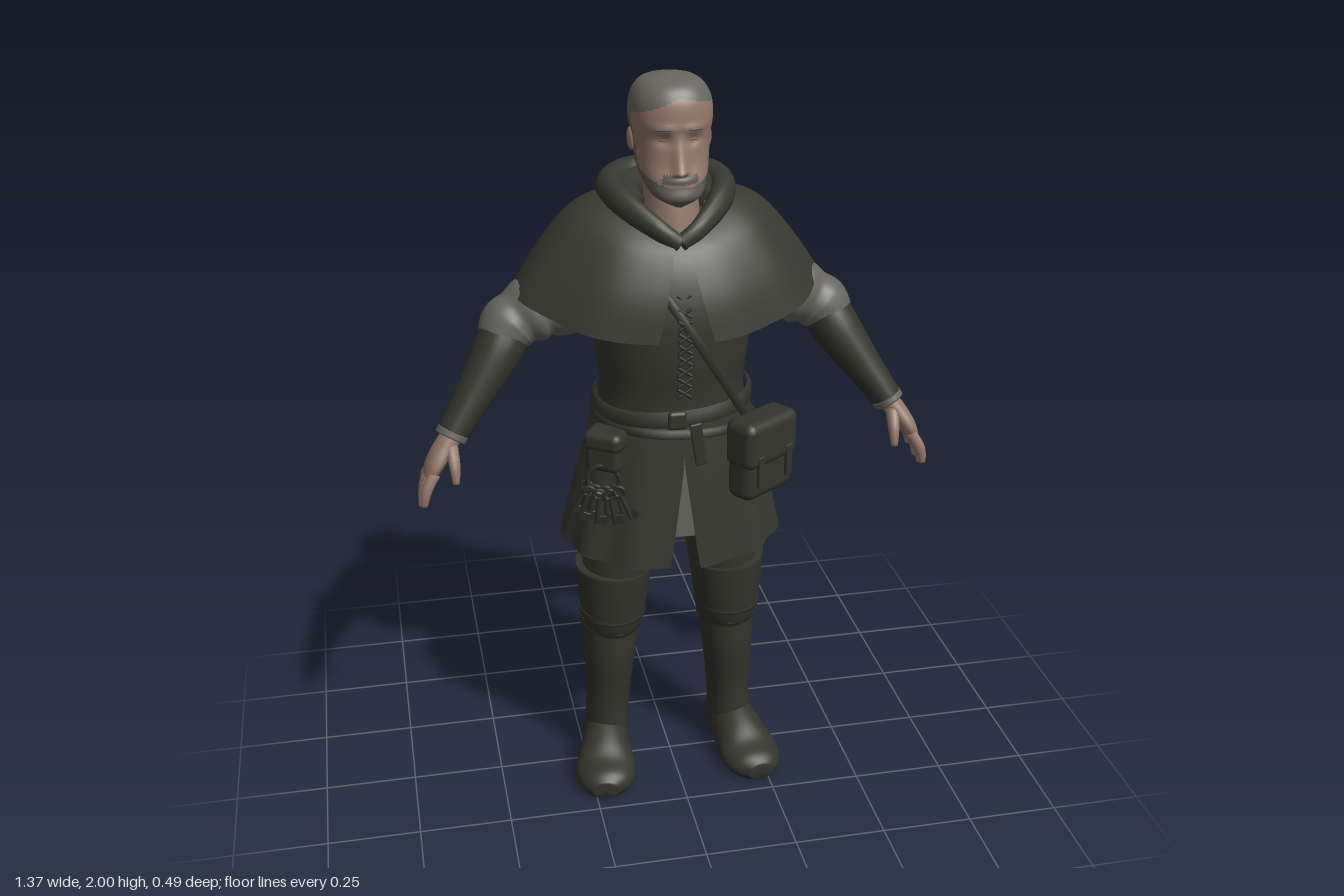
import * as THREE from 'three';
import { RoundedBoxGeometry } from 'three/addons/geometries/RoundedBoxGeometry.js';

const { sin, cos, abs, sign, PI, exp } = Math;

export function createModel() {
  const model = new THREE.Group();
  const mat = (name, color, side = THREE.FrontSide) => {
    const m = new THREE.MeshStandardMaterial({ color, side });
    m.name = name;
    return m;
  };
  const cloth = mat('dark cloth', 0x37382f, THREE.DoubleSide);
  const tunicCloth = mat('tunic cloth', 0x36362e);
  const leather = mat('dark leather', 0x33342c);
  const linen = mat('grey linen', 0x65645f, THREE.DoubleSide);
  const skin = mat('skin', 0x93776a);
  const hair = mat('grey hair', 0x68665f);
  const beard = mat('beard', 0x5f5953);
  const iron = mat('iron', 0x2c2d2a);

  const add = (name, geo, material, parent = model) => {
    const m = new THREE.Mesh(geo, material);
    m.name = name;
    parent.add(m);
    return m;
  };
  const box = (name, w, h, d, x, y, z, material, ry = 0, parent = model, r = 0.01) => {
    const m = add(name, new RoundedBoxGeometry(w, h, d, 2, Math.min(r, w / 2.1, h / 2.1, d / 2.1)), material, parent);
    m.position.set(x, y, z);
    m.rotation.y = ry;
    return m;
  };
  // smooth interpolation through rows of numbers
  const at = (rows, t) => {
    const n = rows.length - 1, f = Math.min(Math.max(t, 0) * n, n - 1e-6), i = Math.floor(f), k = f - i;
    const p = j => rows[Math.min(Math.max(j, 0), n)];
    return rows[0].map((_, c) => {
      const a = p(i - 1)[c], b = p(i)[c], d = p(i + 1)[c], e = p(i + 2)[c];
      return b + 0.5 * k * (d - a + k * (2 * a - 5 * b + 4 * d - e + k * (3 * (b - d) + e - a)));
    });
  };
  // surface from a rule; a closed one joins its first and last column
  const grid = (fn, nu, nv, closed = true) => {
    const pos = [], idx = [], cols = closed ? nu : nu + 1;
    for (let j = 0; j <= nv; j++) for (let i = 0; i < cols; i++) pos.push(...fn(i / nu, j / nv, j, nv));
    for (let j = 0; j < nv; j++) for (let i = 0; i < nu; i++) {
      const a = j * cols + i, b = j * cols + (i + 1) % cols;
      idx.push(a, b, b + cols, a, b + cols, a + cols);
    }
    const g = new THREE.BufferGeometry();
    g.setAttribute('position', new THREE.Float32BufferAttribute(pos, 3));
    g.setIndex(idx);
    g.computeVertexNormals();
    return g;
  };
  // sort faces into material groups by a rule on their centre
  const paint = (g, rule, count) => {
    const p = g.attributes.position, ix = g.index.array, sets = Array.from({ length: count }, () => []);
    for (let i = 0; i < ix.length; i += 3) {
      const t = [ix[i], ix[i + 1], ix[i + 2]], m = f => (f(t[0]) + f(t[1]) + f(t[2])) / 3;
      sets[rule(m(k => p.getX(k)), m(k => p.getY(k)), m(k => p.getZ(k)))].push(...t);
    }
    g.setIndex(sets.flat());
    let start = 0;
    sets.forEach((s, i) => { g.addGroup(start, s.length, i); start += s.length; });
    return g;
  };
  // limb along rows [x, y, z, radius along ref, radius across]
  const limb = (rows, { s = 1, nu = 20, nv = 20, ref = [0, 0, 1], floor = -9 } = {}) => {
    const r = rows.map(q => [q[0] * s, ...q.slice(1)]);
    return grid((u, v, j, n) => {
      const t = Math.min(Math.max((j - 1) / (n - 2), 0), 1), end = j === 0 || j === n ? 0 : 1;
      const c = at(r, t), a = at(r, t - 0.03), b = at(r, t + 0.03);
      const T = new THREE.Vector3(b[0] - a[0], b[1] - a[1], b[2] - a[2]).normalize();
      const S = new THREE.Vector3(...ref).addScaledVector(T, -T.dot(new THREE.Vector3(...ref))).normalize();
      const N = T.clone().cross(S), k = u * 2 * PI;
      const P = new THREE.Vector3(c[0], c[1], c[2])
        .addScaledVector(S, end * c[3] * cos(k)).addScaledVector(N, end * c[4] * sin(k));
      return [P.x, Math.max(P.y, floor), P.z];
    }, nu, nv + 2);
  };
  // upright shell from rows [y, half width, front z, back z]
  const ring = (r, a, p = 0.9, grow = 0) => {
    const m = (r[2] + r[3]) / 2, h = (r[2] - r[3]) / 2 + grow, pw = x => sign(x) * abs(x) ** p;
    return [(r[1] + grow) * pw(sin(a)), r[0], m + h * pw(cos(a))];
  };

  // head, with nose, eye sockets, hair and beard shaped into one surface
  const headRows = [[1.69, 0.012, 0.125, 0.08], [1.715, 0.06, 0.152, 0.02], [1.755, 0.083, 0.141, -0.06], [1.80, 0.092, 0.126, -0.095],
    [1.85, 0.097, 0.122, -0.115], [1.90, 0.104, 0.125, -0.12], [1.95, 0.097, 0.117, -0.108], [1.985, 0.068, 0.085, -0.075], [2, 0.001, 0.005, 0.003]];
  const head = grid((u, v) => {
    const p = ring(at(headRows, v), u * 2 * PI, 0.88);
    if (p[2] > 0.05) {
      const [x, y] = p, bump = (cx, cy, w, h) => exp(-(((abs(x) - cx) / w) ** 2) - ((y - cy) / h) ** 2);
      if (y > 1.775 && y < 1.875) p[2] += 0.03 * (1 - (y - 1.775) / 0.1) * exp(-((x / 0.016) ** 2));
      p[2] += 0.01 * bump(0, 1.762, 0.04, 0.013) - 0.009 * bump(0.037, 1.853, 0.02, 0.013) + 0.006 * bump(0.035, 1.883, 0.03, 0.01);
    }
    return p;
  }, 80, 64);
  add('head', paint(head, (x, y, z) => {
    if (y > 1.955 - 0.3 * abs(x) + 0.12 * x || (z < 0.025 && y > 1.835) || (z < -0.02 && y > 1.75)) return 1;
    if (z > -0.02 && (y < 1.74 || (y < 1.835 && z < 0.035) || y < 1.795 - z * 0.35
      || (abs(x) < 0.045 && y > 1.752 && y < 1.774))) return 2;
    return 0;
  }, 3), [skin, hair, beard]);
  for (const s of [1, -1]) {
    const ear = add('ear', new THREE.SphereGeometry(1, 14, 10), skin);
    ear.scale.set(0.01, 0.03, 0.018);
    ear.position.set(s * 0.097, 1.838, -0.002);
    ear.rotation.set(-0.2, s * -0.3, 0);
    box('eye', 0.022, 0.005, 0.008, s * 0.038, 1.854, 0.105, beard, s * 0.3);
    box('eyebrow', 0.038, 0.006, 0.008, s * 0.04, 1.882, 0.121, beard, s * 0.35);
  }
  add('neck', limb([[0, 1.59, 0.015, 0.1, 0.085], [0, 1.67, 0.015, 0.088, 0.07], [0, 1.78, 0, 0.075, 0.07]]), skin);

  // tunic body and split skirt
  const torsoRows = [[1.1, 0.205, 0.18, -0.145], [1.2, 0.19, 0.183, -0.145], [1.3, 0.2, 0.195, -0.155],
    [1.42, 0.21, 0.195, -0.165], [1.54, 0.205, 0.16, -0.17], [1.62, 0.15, 0.1, -0.14], [1.67, 0.07, 0.05, -0.09]];
  add('tunic', grid((u, v) => ring(at(torsoRows, v), u * 2 * PI), 48, 24), tunicCloth);
  const skirtRows = [[0.724, 0.298, 0.213, -0.222], [0.86, 0.272, 0.205, -0.195], [1.0, 0.24, 0.197, -0.165], [1.16, 0.2, 0.186, -0.147]];
  add('skirt', grid((u, v) => {
    const gap = 0.14 * Math.max(0, 0.72 - v), a = gap + u * (2 * PI - 2 * gap);
    const p = ring(at(skirtRows, v), a, 0.88, 0.007 * sin(a * 11) * (1 - v));
    p[1] += 0.026 * sin(a) ** 2 * (1 - v);
    return p;
  }, 110, 16, false), cloth);
  box('undershirt panel', 0.12, 0.24, 0.009, 0, 0.925, 0.185, linen);

  // belts with buckle and hanging end
  const belt = (name, y, h, grow, tilt) => add(name, grid((u, v) => {
    const a = u * 2 * PI, edge = [0, 0.15, 0.85, 1][Math.round(v * 3)], out = v > 0.1 && v < 0.9 ? grow : grow - 0.012;
    const p = ring([y, 0.203, 0.186, -0.148], a, 0.9, out);
    p[1] += (edge - 0.5) * h + tilt * sin(a) - 0.01 * cos(a);
    return p;
  }, 48, 3), leather);
  belt('belt', 1.158, 0.045, 0.01, 0.01);
  belt('lower belt', 1.115, 0.03, 0.012, -0.012);
  box('buckle', 0.05, 0.05, 0.02, -0.02, 1.15, 0.197, leather);
  box('belt end', 0.032, 0.12, 0.01, 0.035, 1.08, 0.202, leather).rotation.z = 0.15;

  // front lacing
  for (let i = 0; i < 12; i++) {
    const y = 1.22 + i * 0.031, z = at(torsoRows, (y - 1.1) / 0.6)[2];
    for (const t of [0.6, -0.6]) box('lace', 0.045, 0.009, 0.013, 0, y, z + 0.003, iron, 0, model, 0.004).rotation.z = t;
  }

  // shoulder cape; rows: half width, front z, back z, side y, front y, back y
  const capeRows = [[0.41, 0.22, -0.196, 1.45, 1.365, 1.255], [0.34, 0.202, -0.206, 1.555, 1.47, 1.42],
    [0.258, 0.16, -0.198, 1.65, 1.57, 1.56], [0.18, 0.12, -0.165, 1.69, 1.615, 1.65], [0.1, 0.1, -0.11, 1.705, 1.625, 1.69]];
  add('cape', grid((u, v) => {
    const gap = 0.14 * (1 - v) ** 1.2, a = gap + u * (2 * PI - 2 * gap), c = cos(a), r = at(capeRows, v);
    const w = abs(c) ** 1.8, fold = 1 + 0.012 * sin(a * 9) * (1 - v), mid = -0.055;
    return [sign(sin(a)) * abs(sin(a)) ** 0.88 * r[0] * fold, r[3] + ((c > 0 ? r[4] : r[5]) - r[3]) * w,
      mid + (c > 0 ? c ** 1.15 * (r[1] - mid) : (-c) ** 0.8 * (r[2] - mid)) * fold];
  }, 90, 20, false), cloth);

  // hood lying round the neck and hanging behind
  const half = [[0, 1.6, 0.135, 0.02, 0.018], [0.058, 1.637, 0.115, 0.028, 0.022], [0.125, 1.68, 0.03, 0.04, 0.032],
    [0.142, 1.695, -0.07, 0.046, 0.038], [0.09, 1.7, -0.145, 0.05, 0.042]];
  const hoodPath = [...half, [0, 1.7, -0.17, 0.052, 0.042], ...half.slice().reverse().map(([x, ...r]) => [-x, ...r])];
  add('hood collar', limb(hoodPath, { ref: [0, 1, 0], nv: 64, nu: 16 }), cloth);
  const inner = hoodPath.slice(2, -2).map(([x, y, z, a, b]) => [x * 0.75, y - 0.012, z * 0.85, a * 0.9, b]);
  add('hood inner fold', limb(inner, { ref: [0, 1, 0], nv: 48, nu: 14 }), cloth);
  const bag = new THREE.SphereGeometry(1, 28, 18), bp = bag.attributes.position;
  for (let i = 0; i < bp.count; i++) {
    const y = bp.getY(i);
    bp.setXYZ(i, bp.getX(i) * (0.13 + 0.05 * y), 1.63 + y * 0.105, -0.18 + bp.getZ(i) * 0.064 - 0.008 * y);
  }
  bag.computeVertexNormals();
  add('hood bag', bag, cloth);
  add('hood fold', limb([[0.15, 1.69, -0.15, 0.01, 0.016], [0.085, 1.62, -0.222, 0.01, 0.014], [0, 1.57, -0.232, 0.01, 0.014],
    [-0.085, 1.62, -0.222, 0.01, 0.014], [-0.15, 1.69, -0.15, 0.01, 0.016]], { nv: 30, nu: 12 }), cloth);

  for (const s of [1, -1]) {
    // arms
    add('sleeve', limb([[0.17, 1.49, -0.05, 0.1, 0.1], [0.27, 1.42, -0.05, 0.094, 0.104], [0.33, 1.402, -0.045, 0.08, 0.085],
      [0.362, 1.39, -0.04, 0.086, 0.088], [0.392, 1.375, -0.035, 0.074, 0.076], [0.42, 1.356, -0.028, 0.078, 0.077],
      [0.447, 1.322, -0.012, 0.066, 0.063]], { s, nv: 36 }), linen);
    add('bracer', limb([[0.432, 1.335, -0.017, 0.068, 0.066], [0.46, 1.29, 0.001, 0.068, 0.064], [0.522, 1.2, 0.036, 0.056, 0.051],
      [0.588, 1.107, 0.071, 0.046, 0.04]], { s }), leather);
    add('cuff', limb([[0.583, 1.115, 0.069, 0.048, 0.042], [0.592, 1.1, 0.074, 0.048, 0.042]], { s, nv: 4 }), linen);
    // hands
    add('palm', limb([[0.575, 1.12, 0.07, 0.034, 0.028], [0.608, 1.08, 0.08, 0.042, 0.027], [0.636, 1.04, 0.09, 0.052, 0.024],
      [0.652, 1.01, 0.093, 0.046, 0.018]], { s }), skin);
    for (let f = 0; f < 4; f++) {
      const o = f - 1.5, len = [0.9, 1.05, 1, 0.75][3 - f];
      add('finger', limb([[0.64, 1.025, 0.092 + o * 0.025, 0.013, 0.015], [0.64 + 0.026 * len, 1.025 - 0.045 * len, 0.094 + o * 0.032, 0.0125, 0.014],
        [0.64 + 0.036 * len, 1.025 - 0.092 * len, 0.092 + o * 0.035, 0.008, 0.009]], { s, nu: 10, nv: 8 }), skin);
    }
    add('thumb', limb([[0.592, 1.085, 0.1, 0.018, 0.018], [0.588, 1.045, 0.135, 0.015, 0.015], [0.588, 1, 0.148, 0.009, 0.009]], { s, nu: 10, nv: 8 }), skin);

    // legs and boots
    add('trouser leg', limb([[0.115, 0.9, 0, 0.12, 0.105], [0.145, 0.7, 0, 0.113, 0.1], [0.158, 0.55, 0, 0.1, 0.09]], { s }), tunicCloth);
    add('boot shaft', limb([[0.16, 0.65, 0, 0.115, 0.106], [0.163, 0.57, 0, 0.107, 0.098], [0.165, 0.5, -0.004, 0.1, 0.09],
      [0.168, 0.455, -0.018, 0.09, 0.08], [0.172, 0.36, -0.02, 0.09, 0.074], [0.178, 0.22, -0.025, 0.076, 0.062],
      [0.183, 0.12, -0.03, 0.078, 0.062], [0.185, 0.03, -0.035, 0.078, 0.06]], { s, nv: 36, nu: 28 }), leather);
    for (const [n, y, x, z, a, b, h] of [['knee fold', 0.505, 0.165, -0.003, 0.102, 0.093, 0.012], ['boot strap', 0.466, 0.168, -0.016, 0.095, 0.087, 0.017]])
      add(n, limb([[x, y - h, z, a, b], [x, y + h, z, a, b]], { s, nv: 4, nu: 28 }), leather);
    box('boot buckle', 0.024, 0.03, 0.012, s * 0.16, 0.466, 0.08, leather);
    const foot = limb([[0.18, 0.055, -0.117, 0.056, 0.05], [0.184, 0.058, -0.08, 0.075, 0.06], [0.19, 0.06, -0.01, 0.09, 0.066],
      [0.202, 0.05, 0.06, 0.076, 0.076], [0.212, 0.036, 0.125, 0.054, 0.086], [0.222, 0.03, 0.18, 0.044, 0.07], [0.226, 0.028, 0.212, 0.026, 0.034]],
    { s, ref: [0, 1, 0], nv: 28, nu: 32, floor: 0 });
    add('foot', paint(foot, (x, y) => (y < 0.016 ? 1 : 0), 2), [leather, iron]);
  }

  // satchel on the left hip with its strap
  const satchel = new THREE.Group();
  satchel.name = 'satchel';
  satchel.position.set(0.212, 1.02, 0.16);
  satchel.rotation.y = 0.6;
  model.add(satchel);
  box('satchel body', 0.185, 0.215, 0.085, 0, -0.002, 0, leather, 0, satchel, 0.028);
  box('satchel flap', 0.195, 0.13, 0.098, 0, 0.05, 0.003, leather, 0, satchel, 0.025);
  for (const x of [-0.055, 0.055]) box('satchel tab', 0.022, 0.09, 0.012, x, -0.02, 0.05, leather, 0, satchel, 0.004);
  const strap = pts => add('shoulder strap', limb(pts.map(p => [...p, 0.006, 0.013]), { nu: 10 }), leather);
  strap([[-0.06, 1.5, 0.17], [0.02, 1.38, 0.203], [0.1, 1.25, 0.184], [0.19, 1.1, 0.14]]);
  strap([[-0.08, 1.5, -0.175], [0.02, 1.36, -0.168], [0.12, 1.22, -0.134], [0.2, 1.1, -0.06], [0.235, 1.07, 0.06]]);

  // small purse and key ring on the right hip
  box('purse', 0.1, 0.11, 0.075, -0.195, 1.06, 0.14, leather, -0.6, model, 0.02);
  box('purse flap', 0.108, 0.055, 0.084, -0.195, 1.09, 0.14, leather, -0.6, model, 0.02);
  const keys = new THREE.Group();
  keys.name = 'keys';
  keys.position.set(-0.21, 0.985, 0.168);
  keys.rotation.y = -0.3;
  model.add(keys);
  add('key ring', new THREE.TorusGeometry(0.042, 0.007, 8, 24), iron, keys);
  for (let i = 0; i < 8; i++) {
    const key = new THREE.Group(), a = -1 + i * 0.27;
    key.name = 'key';
    key.position.set(sin(a) * 0.05, -cos(a) * 0.03, (i % 2) * 0.02 - 0.01);
    key.rotation.z = a * 0.45;
    keys.add(key);
    add('key bow', new THREE.TorusGeometry(0.014, 0.005, 6, 14), iron, key).position.y = -0.008;
    add('key shank', new THREE.CylinderGeometry(0.007, 0.007, 0.075, 8), iron, key).position.y = -0.055;
    box('key bit', 0.026, 0.024, 0.01, 0.012, -0.08, 0, iron, 0, key, 0.002);
  }
  return model;
}
